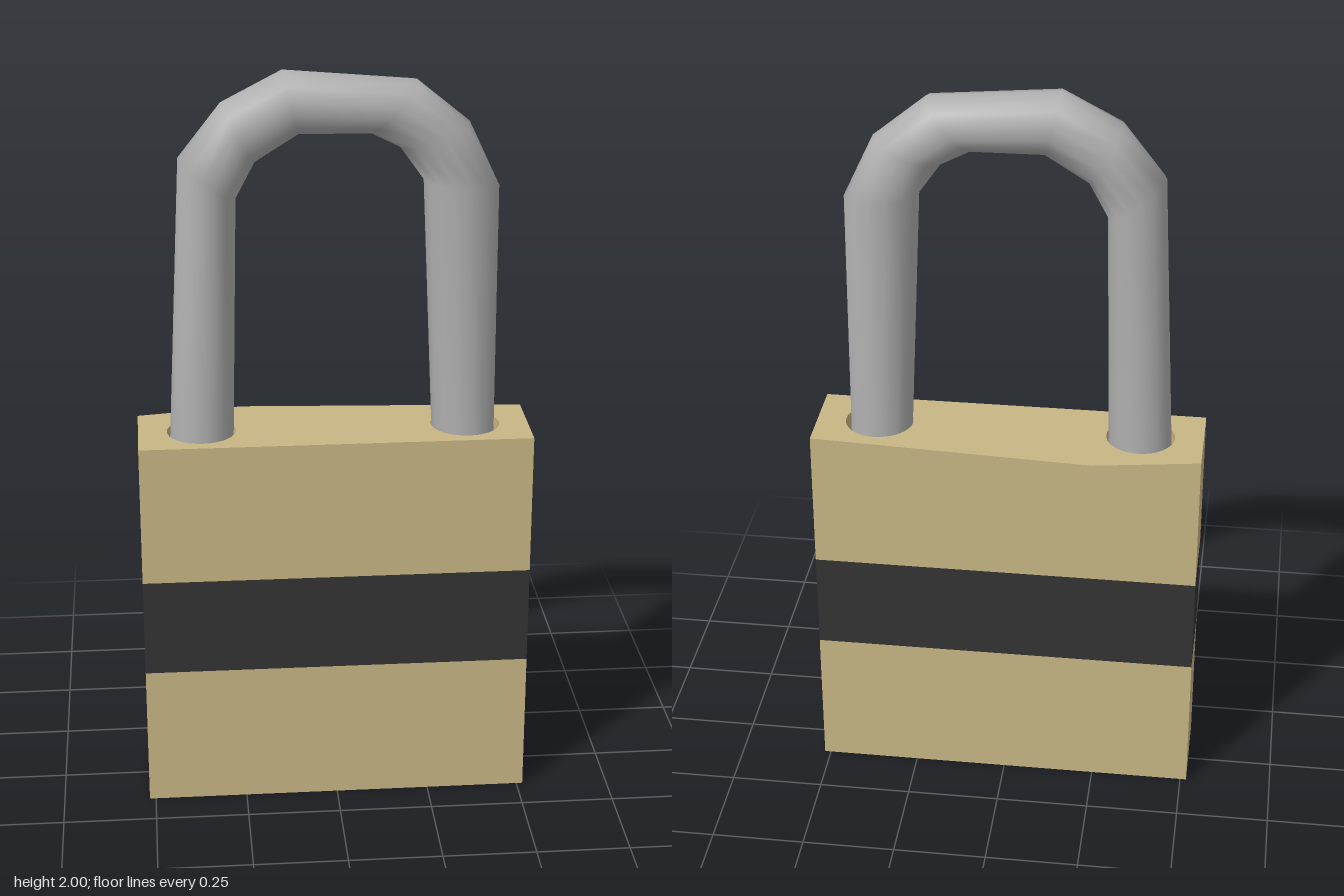
import * as THREE from 'three';

export function createModel() {
  const brass = new THREE.MeshStandardMaterial({ color: 0xc8b684, side: THREE.DoubleSide });
  brass.name = 'brass';
  const black = new THREE.MeshStandardMaterial({ color: 0x343434 });
  black.name = 'black band';
  const steel = new THREE.MeshStandardMaterial({ color: 0xb0b0b0 });
  steel.name = 'steel';

  const group = new THREE.Group();
  group.name = 'padlock';
  const add = (name, geometry, material) => {
    const mesh = new THREE.Mesh(geometry, material);
    mesh.name = name;
    group.add(mesh);
    return mesh;
  };

  const halfW = 0.517, front = 0.145, back = -0.098, top = 1.037, collar = 0.12;
  const legX = 0.35, legZ = 0.022;

  // Stacked body blocks: lower, band, upper
  const block = (name, y0, y1, material) => {
    const g = new THREE.BoxGeometry(halfW * 2, y1 - y0, front - back);
    g.translate(0, (y0 + y1) / 2, (front + back) / 2);
    add(name, g, material);
  };
  block('lowerBody', 0, 0.388, brass);
  block('band', 0.388, 0.655, black);
  block('upperBody', 0.655, top - collar, brass);

  // Top of the body with two shackle holes (shape y becomes -z)
  const outline = new THREE.Shape([
    new THREE.Vector2(-halfW, -front), new THREE.Vector2(halfW, -front),
    new THREE.Vector2(halfW, -back), new THREE.Vector2(-halfW, -back),
  ]);
  for (const s of [-1, 1]) {
    outline.holes.push(new THREE.Path().absarc(s * legX, -legZ, 0.091, 0, Math.PI * 2, true));
  }
  const collarGeo = new THREE.ExtrudeGeometry(outline, { depth: collar, bevelEnabled: false, curveSegments: 16 });
  collarGeo.rotateX(-Math.PI / 2).translate(0, top - collar, 0);
  add('bodyTop', collarGeo, brass);

  // Thin lip overhanging the back edge
  const lip = new THREE.ShapeGeometry(new THREE.Shape([
    new THREE.Vector2(-halfW, -back), new THREE.Vector2(halfW, -back), new THREE.Vector2(-0.235, 0.145),
  ]));
  lip.rotateX(-Math.PI / 2).translate(0, top, 0);
  add('backLip', lip, brass);

  // Shackle: rings spanning an outer and an inner point [outerX, outerY, innerX, innerY]
  const spans = [
    [-0.437, 0.93, -0.267, 0.93],
    [-0.395, 1.78, -0.25, 1.67],
    [-0.285, 1.92, -0.20, 1.765],
    [-0.13, 2.0, -0.09, 1.835],
    [0.21, 1.97, 0.09, 1.835],
    [0.345, 1.86, 0.17, 1.795],
    [0.425, 1.69, 0.23, 1.71],
    [0.428, 0.93, 0.265, 0.93],
  ];
  const sides = 14, positions = [], index = [];
  spans.forEach(([ox, oy, ix, iy], r) => {
    const rz = r === 0 || r === spans.length - 1 ? 0.086 : 0.081;
    for (let i = 0; i < sides; i++) {
      const a = (i / sides) * Math.PI * 2, c = Math.cos(a) / 2;
      positions.push((ox + ix) / 2 + (ox - ix) * c, (oy + iy) / 2 + (oy - iy) * c, legZ + rz * Math.sin(a));
      if (r === 0) continue;
      const n = (i + 1) % sides, p = (r - 1) * sides, q = r * sides;
      index.push(p + i, p + n, q + i, p + n, q + n, q + i);
    }
  });
  const shackle = new THREE.BufferGeometry();
  shackle.setAttribute('position', new THREE.Float32BufferAttribute(positions, 3));
  shackle.setIndex(index);
  shackle.computeVertexNormals();
  add('shackle', shackle, steel);

  return group;
}
